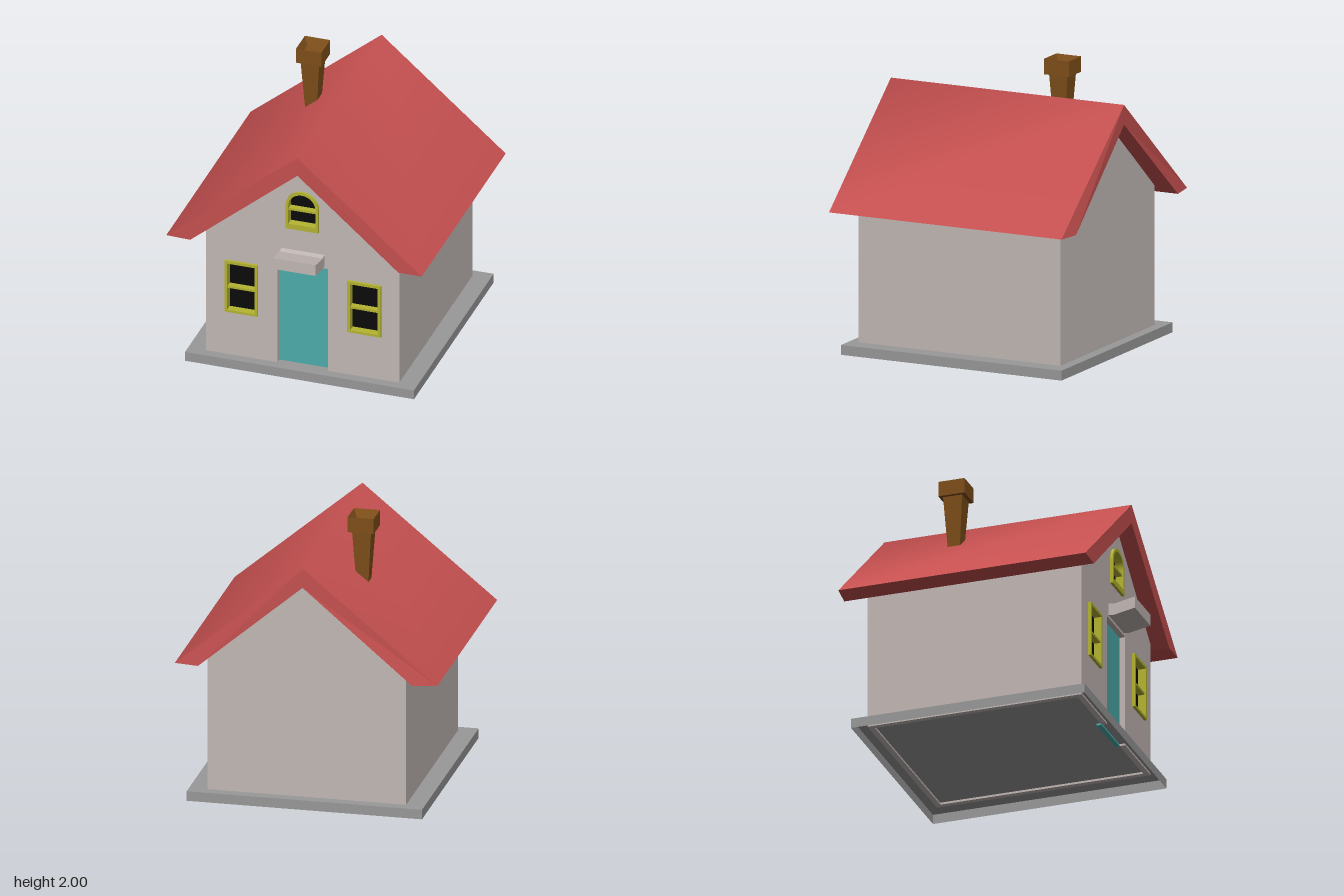
import * as THREE from 'three';

const paint = (color) => new THREE.MeshStandardMaterial({ color, flatShading: true });
const WALL = paint(0xc3b9b6), STONE = paint(0x999999), DOOR = paint(0x4dadad);
const FRAME = paint(0xb5b532), GLASS = paint(0x0b0b0b), BRICK = paint(0x7f4f1a);
const ROOF = paint(0xc65050);
STONE.side = ROOF.side = THREE.DoubleSide;

const CX = 0.02;            // centre line of the house
const WALL_BOTTOM = 0.055, PANE_Z = 0.72, FRONT_Z = 0.76;

function add(parent, name, geometry, material) {
  const mesh = new THREE.Mesh(geometry, material);
  mesh.name = name;
  parent.add(mesh);
  return mesh;
}

// Box given by its limits
function box(x0, x1, y0, y1, z0, z1) {
  return new THREE.BoxGeometry(x1 - x0, y1 - y0, z1 - z0)
    .translate((x0 + x1) / 2, (y0 + y1) / 2, (z0 + z1) / 2);
}

function slab(shape, z0, z1) {
  return new THREE.ExtrudeGeometry(shape, { depth: z1 - z0, bevelEnabled: false, curveSegments: 14 })
    .translate(0, 0, z0);
}

const polygon = (pts) => new THREE.Shape(pts.map(([x, y]) => new THREE.Vector2(x, y)));

// Window outline, shrunk by inset; arched ones have a half-round head
function opening({ x0, x1, y0, y1, arched }, inset, sill = inset) {
  const l = x0 + inset, r = x1 - inset, b = y0 + sill, t = y1 - inset;
  if (!arched) return polygon([[l, b], [r, b], [r, t], [l, t]]);
  const radius = (r - l) / 2;
  const s = new THREE.Shape();
  s.moveTo(l, b).lineTo(r, b).lineTo(r, t - radius);
  s.absarc((l + r) / 2, t - radius, radius, 0, Math.PI, false);
  s.closePath();
  return s;
}

const WINDOWS = [
  { name: 'rightWindow', x0: -0.545, x1: -0.305, y0: 0.415, y1: 0.82, bar: 0.61, sill: 0.018 },
  { name: 'leftWindow', x0: 0.35, x1: 0.595, y0: 0.415, y1: 0.82, bar: 0.61, sill: 0.018 },
  { name: 'atticWindow', x0: -0.1, x1: 0.14, y0: 1.16, y1: 1.46, bar: 1.312, sill: 0.04, arched: true },
];

function makeWindow(w) {
  const g = new THREE.Group();
  g.name = w.name;
  const frame = opening(w, 0);
  frame.holes.push(opening(w, 0.021, w.sill));
  add(g, 'windowFrame', slab(frame, PANE_Z, 0.78), FRAME);
  add(g, 'windowBar', box(w.x0 + 0.015, w.x1 - 0.015, w.bar - 0.008, w.bar + 0.008, PANE_Z, 0.77), FRAME);
  add(g, 'windowPane', slab(opening(w, 0.01), PANE_Z - 0.01, PANE_Z + 0.002), GLASS);
  return g;
}

function makeWalls() {
  const g = new THREE.Group();
  g.name = 'walls';
  const l = -0.685, r = 0.725, eave = 1.07, back = -0.81, t = 0.04;
  const gable = [[r, WALL_BOTTOM], [r, eave], [CX, 1.67], [l, eave], [l, WALL_BOTTOM]];
  // The front outline steps around the doorway
  const front = polygon([...gable, [-0.165, WALL_BOTTOM], [-0.165, 0.88], [0.205, 0.88], [0.205, WALL_BOTTOM]]);
  WINDOWS.forEach((w) => front.holes.push(opening(w, 0.006)));
  add(g, 'frontWall', slab(front, PANE_Z, FRONT_Z), WALL);
  add(g, 'backWall', slab(polygon(gable), back, back + t), WALL);
  add(g, 'leftWall', box(r - t, r, WALL_BOTTOM, eave - 0.02, back + t, PANE_Z), WALL);
  add(g, 'rightWall', box(l, l + t, WALL_BOTTOM, eave - 0.02, back + t, PANE_Z), WALL);
  return g;
}

// Triangles from four-cornered faces [a, b, c, d]
function quads(corners, faces) {
  const geo = new THREE.BufferGeometry();
  geo.setAttribute('position', new THREE.Float32BufferAttribute(corners.flat(), 3));
  geo.setIndex(faces.flatMap(([a, b, c, d]) => [a, b, c, a, c, d]));
  geo.computeVertexNormals();
  return geo;
}

// Roof section, right eave over the ridge to left eave and back underneath: x, y, front z, back z
function makeRoof() {
  const g = new THREE.Group();
  g.name = 'roof';
  const section = [
    [-0.935, 1.005, 0.88, -0.935], [CX, 1.79, 0.875, -0.94], [0.93, 1.02, 0.885, -0.925],
    [0.76, 1.02, 0.885, -0.95], [CX, 1.65, 0.875, -0.94], [-0.76, 1.0, 0.88, -0.955],
  ];
  const corners = [
    ...section.map(([x, y, f]) => [x, y, f]),
    ...section.map(([x, y, , b]) => [x, y, b]),
  ];
  const strip = (i) => [i, (i + 1) % 6, (i + 1) % 6 + 6, i + 6];
  const smooth = ROOF.clone();
  smooth.flatShading = false;
  add(g, 'roofSlopes', quads(corners, [strip(0), strip(1)].map((f) => f.reverse()).map(([a, b, c, d]) => [d, c, b, a].reverse())), smooth);
  const ends = [[0, 5, 4, 1], [1, 4, 3, 2], [6, 7, 10, 11], [7, 8, 9, 10]];
  const under = [2, 3, 4, 5].map((i) => strip(i).reverse());
  add(g, 'roofEdges', quads(corners, [...ends, ...under]), ROOF);
  return g;
}

// Square chimney: tapered stack, wider cap, sunken flue
function makeChimney() {
  const profile = [[0.036, 1.4], [0.0675, 1.89], [0.0925, 1.89], [0.0925, 2], [0.0675, 1.94], [0, 1.94]];
  const geo = new THREE.LatheGeometry(
    profile.map(([r, y]) => new THREE.Vector2(r * Math.SQRT2, y)), 4, Math.PI / 4);
  return geo.scale(1, 1, 1.04).translate(-0.268, 0, -0.312);
}

export function createModel() {
  const house = new THREE.Group();
  house.name = 'house';

  // Plinth, open underneath
  const plinth = box(-0.815, 0.855, 0, 0.07, -0.885, 0.83);
  const index = Array.from(plinth.index.array);
  index.splice(18, 6); // bottom face
  plinth.setIndex(index);
  add(house, 'plinth', plinth, STONE);

  house.add(makeWalls(), makeRoof());
  WINDOWS.forEach((w) => house.add(makeWindow(w)));
  add(house, 'door', box(-0.165, 0.205, WALL_BOTTOM, 0.885, 0.685, PANE_Z), DOOR);
  add(house, 'chimney', makeChimney(), BRICK);

  // Bent canopy over the door, side section swept across
  const canopy = slab(polygon([
    [0.73, 0.905], [0.76, 0.9], [0.8, 0.895], [0.955, 0.925], [0.955, 1.01], [0.8, 0.98], [0.73, 0.992],
  ]), 0, 0.315).rotateY(-Math.PI / 2).translate(0.18, 0, 0);
  add(house, 'doorCanopy', canopy, WALL);

  return house;
}
